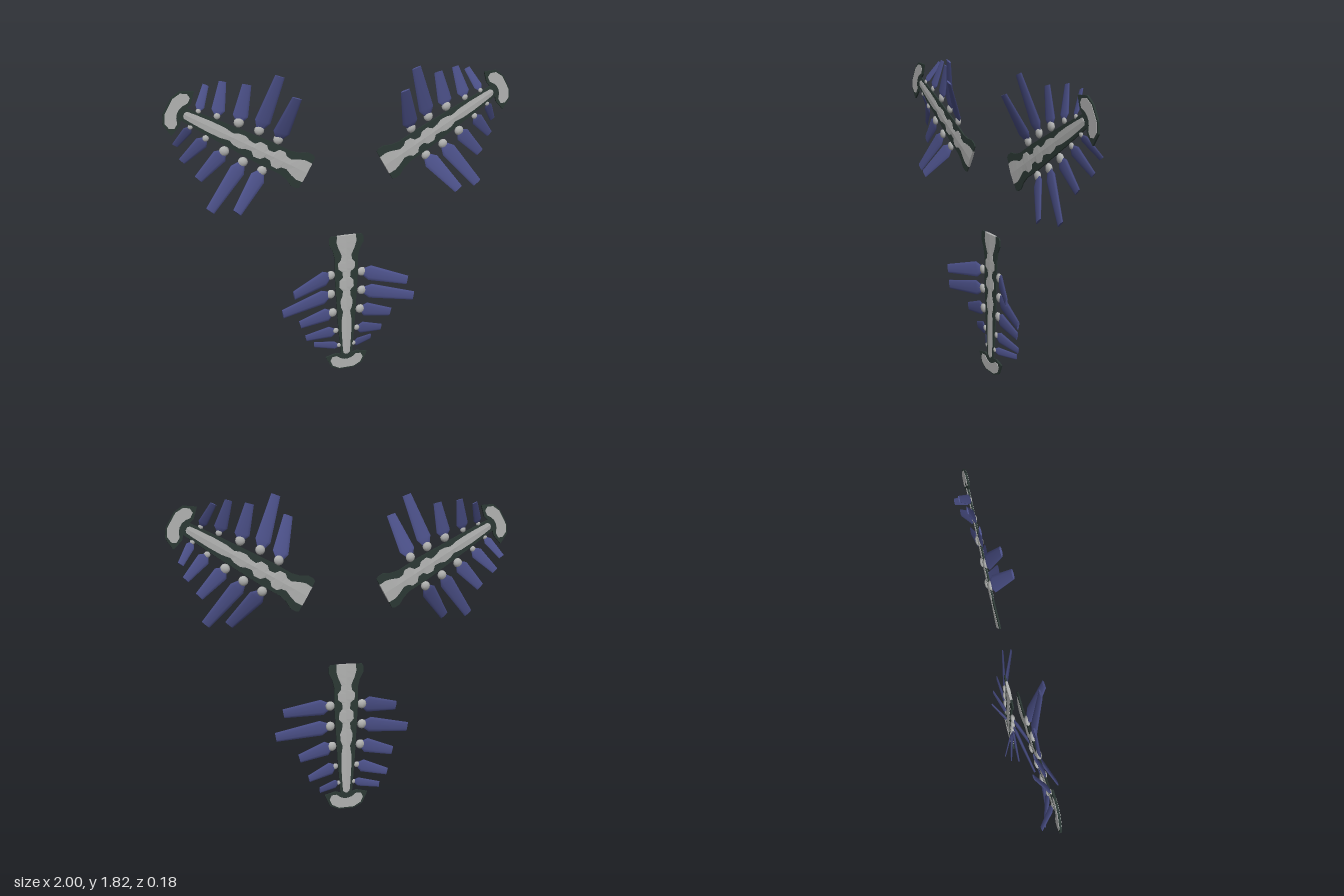
import * as THREE from 'three';

const mat = (name, color, extra = {}) => {
  const m = new THREE.MeshStandardMaterial({ color, ...extra });
  m.name = name;
  return m;
};

const HUB = 1.125;    // height of the centre the three arms turn around
const PLANE = -0.016; // depth of the flat spines

function add(group, name, geometry, material) {
  const mesh = new THREE.Mesh(geometry, material);
  mesh.name = name;
  group.add(mesh);
  return mesh;
}

// Closed plate with a shallow ridge front and back; profile rows are [y, half width], top to bottom
function ridgedPlate(profile, edge, mid) {
  const rings = profile.map(([y, w]) => [
    [-w, y, edge], [0, y, mid], [w, y, edge], [w, y, -edge], [0, y, -mid], [-w, y, -edge],
  ]);
  const pos = [];
  const tri = (...p) => p.forEach((v) => pos.push(...v));
  for (let i = 0; i < rings.length - 1; i++) {
    const a = rings[i], b = rings[i + 1];
    for (let j = 0; j < 6; j++) {
      const k = (j + 1) % 6;
      tri(a[j], b[j], b[k]);
      tri(a[j], b[k], a[k]);
    }
  }
  const first = rings[0], last = rings[rings.length - 1];
  for (let j = 1; j < 5; j++) {
    tri(first[0], first[j], first[j + 1]);
    tri(last[0], last[j + 1], last[j]);
  }
  const g = new THREE.BufferGeometry();
  g.setAttribute('position', new THREE.Float32BufferAttribute(pos, 3));
  g.computeVertexNormals();
  return g;
}

// Symmetric flat outline, given as its +x half from bottom to top
function mirroredPlate(half, depth) {
  const left = half.map(([x, y]) => [-x, y]).reverse();
  const shape = new THREE.Shape([...half, ...left].map(([x, y]) => new THREE.Vector2(x, y)));
  const g = new THREE.ExtrudeGeometry(shape, { depth, bevelEnabled: false });
  return g.translate(0, 0, -depth / 2);
}

// Flattened tapering blade along +y
function bladeGeometry(length, rootHalf, tipHalf) {
  const pts = [
    [0, 0], [rootHalf * 0.4, 0], [rootHalf, length * 0.16],
    [tipHalf, length], [tipHalf, length], [0, length],
  ].map(([x, y]) => new THREE.Vector2(x, y));
  return new THREE.LatheGeometry(pts, 10).scale(1, 1, 0.2);
}

const SPINE = [
  [0.86, 0.095], [0.845, 0.104], [0.81, 0.104], [0.77, 0.082], [0.72, 0.07], [0.6, 0.07],
  [0.45, 0.061], [0.3, 0.052], [0.18, 0.042], [0.09, 0.035],
];
const SPINE_PATCH = [
  [0.861, 0.058], [0.82, 0.06], [0.785, 0.05], [0.74, 0.03], [0.71, 0.034], [0.69, 0.052],
  [0.655, 0.05], [0.635, 0.026], [0.6, 0.022], [0.58, 0.042], [0.54, 0.045], [0.515, 0.022],
  [0.48, 0.026], [0.45, 0.038], [0.41, 0.034], [0.38, 0.022], [0.33, 0.03], [0.25, 0.03],
  [0.15, 0.024], [0.11, 0.02], [0.1, 0.008],
];

// Blades: root x, y; tip x, y, z offset; half widths at root and tip; joint radius
const BLADES = [
  [0.1, 0.622, 0.345, 0.573, 0.1, 0.048, 0.028, 0.028],
  [0.1, 0.503, 0.403, 0.448, 0.06, 0.046, 0.028, 0.028],
  [0.09, 0.383, 0.283, 0.33, -0.008, 0.044, 0.026, 0.028],
  [0.07, 0.262, 0.238, 0.217, -0.045, 0.038, 0.021, 0.018],
  [0.05, 0.162, 0.18, 0.152, -0.07, 0.026, 0.018, 0.014],
];

export function createModel() {
  const model = new THREE.Group();
  model.name = 'threeArmedOrnament';
  const dark = mat('darkGreen', 0x2c3935);
  const pale = mat('paleGrey', 0xb2b3b2);
  const blue = mat('slateBlue', 0x4b5088);

  const spineGeo = ridgedPlate(SPINE, 0.004, 0.006);
  const patchGeo = ridgedPlate(SPINE_PATCH, 0.0065, 0.009);
  const headGeo = mirroredPlate([
    [0.045, 0.003], [0.098, 0.027], [0.13, 0.094], [0.065, 0.11], [0.03, 0.1],
  ], 0.01);
  const headPatchGeo = mirroredPlate([
    [0.045, 0.011], [0.088, 0.034], [0.102, 0.066], [0.09, 0.09], [0.06, 0.092], [0.035, 0.074], [0.012, 0.066],
  ], 0.015);

  function buildArm() {
    const arm = new THREE.Group();
    add(arm, 'spine', spineGeo, dark);
    add(arm, 'spinePatch', patchGeo, pale);
    add(arm, 'head', headGeo, dark);
    add(arm, 'headPatch', headPatchGeo, pale);

    // Paired blades fan out from forward-leaning to backward-leaning
    for (const side of [-1, 1]) {
      for (const [rx, ry, tx, ty, tz, rw, tw, jr] of BLADES) {
        const root = new THREE.Vector3(side * rx, ry, 0);
        const dir = new THREE.Vector3(side * tx, ty, tz).sub(root);
        const length = dir.length();
        dir.normalize();
        const across = new THREE.Vector3().crossVectors(dir, new THREE.Vector3(0, 0, 1)).normalize();
        const normal = new THREE.Vector3().crossVectors(across, dir);
        const blade = add(arm, 'blade', bladeGeometry(length, rw, tw), blue);
        blade.quaternion.setFromRotationMatrix(new THREE.Matrix4().makeBasis(across, dir, normal));
        blade.position.copy(root);

        const joint = add(arm, 'joint', new THREE.SphereGeometry(jr, 8, 6), pale);
        joint.scale.z = 0.5;
        joint.position.set(side * (rx - 0.004), ry, 0);
      }
    }
    arm.position.y = -HUB;
    return arm;
  }

  // Three equal arms around the hub
  ['lowerArm', 'leftArm', 'rightArm'].forEach((name, i) => {
    const pivot = new THREE.Group();
    pivot.name = name;
    pivot.position.set(0, HUB, PLANE);
    pivot.rotation.z = (i * Math.PI * 2) / 3;
    pivot.add(buildArm());
    model.add(pivot);
  });
  return model;
}
